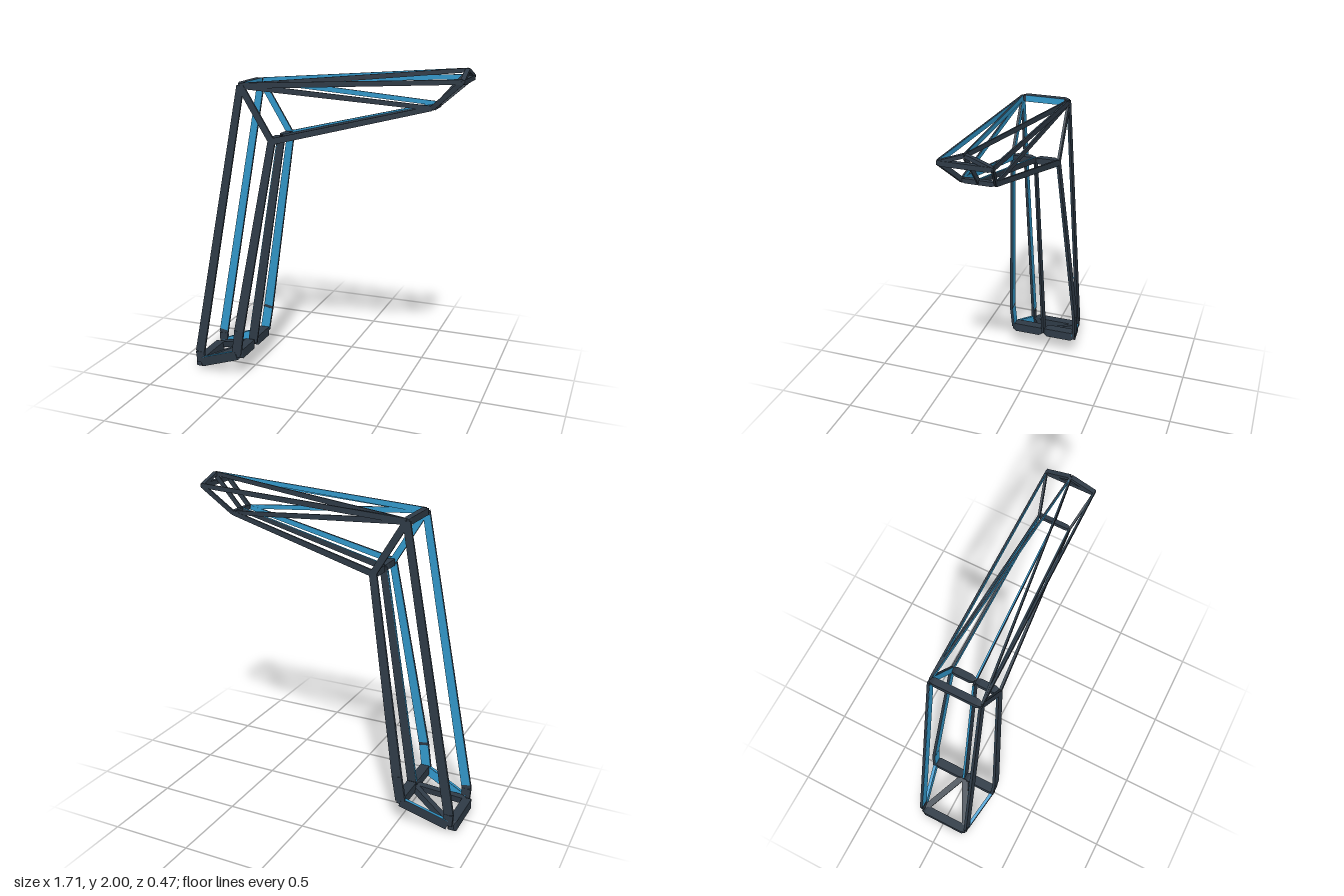
import * as THREE from 'three';

export function createModel() {
  const model = new THREE.Group();
  model.name = 'legFrame';
  const dark = new THREE.MeshStandardMaterial({ color: 0x2f3b47, flatShading: true });
  const blue = new THREE.MeshStandardMaterial({ color: 0x3399cc, flatShading: true });
  const V = (p) => new THREE.Vector3(...p);

  // Box along y that tapers from scale 1 at the start to k at the end
  function taperedBox(w, len, t, k) {
    const g = new THREE.BoxGeometry(w, len, t);
    const p = g.attributes.position;
    for (let i = 0; i < p.count; i++) {
      if (p.getY(i) > 0) p.setXYZ(i, p.getX(i) * k, p.getY(i), p.getZ(i) * k);
    }
    g.computeVertexNormals();
    return g;
  }

  // Straight bar from a to b; lining 'z' colours the face towards the middle plane, 'x' the inner edge
  function bar(name, a, b, w, t, { k = 1, lining = '' } = {}) {
    const A = V(a), B = V(b);
    const y = B.clone().sub(A), len = y.length();
    y.normalize();
    const ref = Math.abs(y.z) > 0.9 ? new THREE.Vector3(0, 1, 0) : new THREE.Vector3(0, 0, 1);
    const z = ref.addScaledVector(y, -ref.dot(y)).normalize();
    const x = y.clone().cross(z);
    const g = new THREE.Group();
    g.name = name;
    g.quaternion.setFromRotationMatrix(new THREE.Matrix4().makeBasis(x, y, z));
    g.position.copy(A).add(B).multiplyScalar(0.5);
    const body = new THREE.Mesh(taperedBox(w, len, t, k), dark);
    body.name = name + 'Body';
    g.add(body);
    const addLining = (lw, lt, dx, dz) => {
      const m = new THREE.Mesh(taperedBox(lw, len * 0.97, lt, k), blue);
      m.name = name + 'Lining';
      m.position.set(dx, 0, dz);
      g.add(m);
    };
    if (lining.includes('z')) addLining(w * 0.96, t * 0.5, 0, -Math.sign(A.z + B.z) * (t * 0.25 + 0.001));
    if (lining.includes('x')) addLining(w * 0.5, t * 0.96, -(w * 0.25 + 0.001), 0);
    model.add(g);
  }

  // Crossbar along z made of a core with narrowed ends
  function crossbar(name, x, y, half, w, h, split = false, lining = '') {
    const spans = split ? [[-half, -0.004], [0.004, half]] : [[-half, half]];
    for (const [z0, z1] of spans) {
      const e = 0.025;
      bar(name, [x, y, z0 + e], [x, y, z1 - e], w, h, { lining });
      bar(name + 'End', [x, y, z0 + e], [x, y, z0], w, h, { k: 0.6 });
      bar(name + 'End', [x, y, z1 - e], [x, y, z1], w, h, { k: 0.6 });
    }
  }

  // Crossbars
  crossbar('rearFootBar', -0.83, 0.034, 0.165, 0.056, 0.066);
  crossbar('frontFootBar', -0.52, 0.165, 0.225, 0.06, 0.06, true);
  crossbar('topBar', -0.487, 1.86, 0.15, 0.038, 0.04, false, 'x');
  crossbar('kneeBar', -0.29, 1.54, 0.145, 0.042, 0.04, true);
  crossbar('tipBar', 0.837, 1.935, 0.148, 0.026, 0.028);
  crossbar('tipLowerBar', 0.66, 1.78, 0.095, 0.026, 0.026);

  // Mirrored side bars
  for (const s of [1, -1]) {
    const top = [-0.485, 1.86, 0.148 * s], knee = [-0.29, 1.54, 0.147 * s];
    const shin = [-0.5, 0.33, 0.226 * s], toe = [-0.525, 0.17, 0.22 * s];
    const heel = [-0.815, 0.12, 0.168 * s], heelLow = [-0.81, 0.045, 0.165 * s];
    const tip = [0.835, 1.937, 0.143 * s], apex = [0.832, 1.987, 0.002 * s];
    const low = [0.66, 1.78, 0.093 * s];
    bar('rearLeg', heel, top, 0.06, 0.018, { k: 0.75, lining: 'z' });
    bar('rearLegFoot', heel, heelLow, 0.058, 0.02);
    bar('frontLeg', shin, knee, 0.062, 0.018, { k: 0.75, lining: 'z' });
    bar('frontLegFoot', shin, toe, 0.062, 0.018, { lining: 'z' });
    bar('footSide', heelLow, [toe[0], 0.16, toe[2]], 0.06, 0.02, { lining: 'zx' });
    bar('footDiagonal', [-0.535, 0.15, 0.012 * s], [-0.81, 0.045, 0.15 * s], 0.04, 0.04);
    bar('kneeStrut', top, knee, 0.04, 0.014, { lining: 'z' });
    bar('armUpper', top, tip, 0.034, 0.011, { k: 0.8, lining: 'z' });
    bar('armRidge', top, apex, 0.034, 0.011, { k: 0.7, lining: 'z' });
    bar('armBrace', top, low, 0.034, 0.011, { k: 0.75, lining: 'z' });
    bar('armLower', knee, low, 0.038, 0.014, { k: 0.75, lining: 'z' });
    bar('tipRoof', tip, apex, 0.026, 0.02);
    bar('tipSide', low, tip, 0.028, 0.012);
  }

  // Middle bars
  bar('middleLeg', [-0.515, 0.165, 0], [-0.29, 1.54, 0], 0.06, 0.015, { k: 0.75, lining: 'x' });
  bar('middleArm', [-0.29, 1.54, 0], [0.66, 1.78, 0], 0.036, 0.011, { k: 0.7, lining: 'x' });
  bar('middleTip', [0.66, 1.78, 0], [0.835, 1.98, 0], 0.028, 0.008);
  return model;
}
